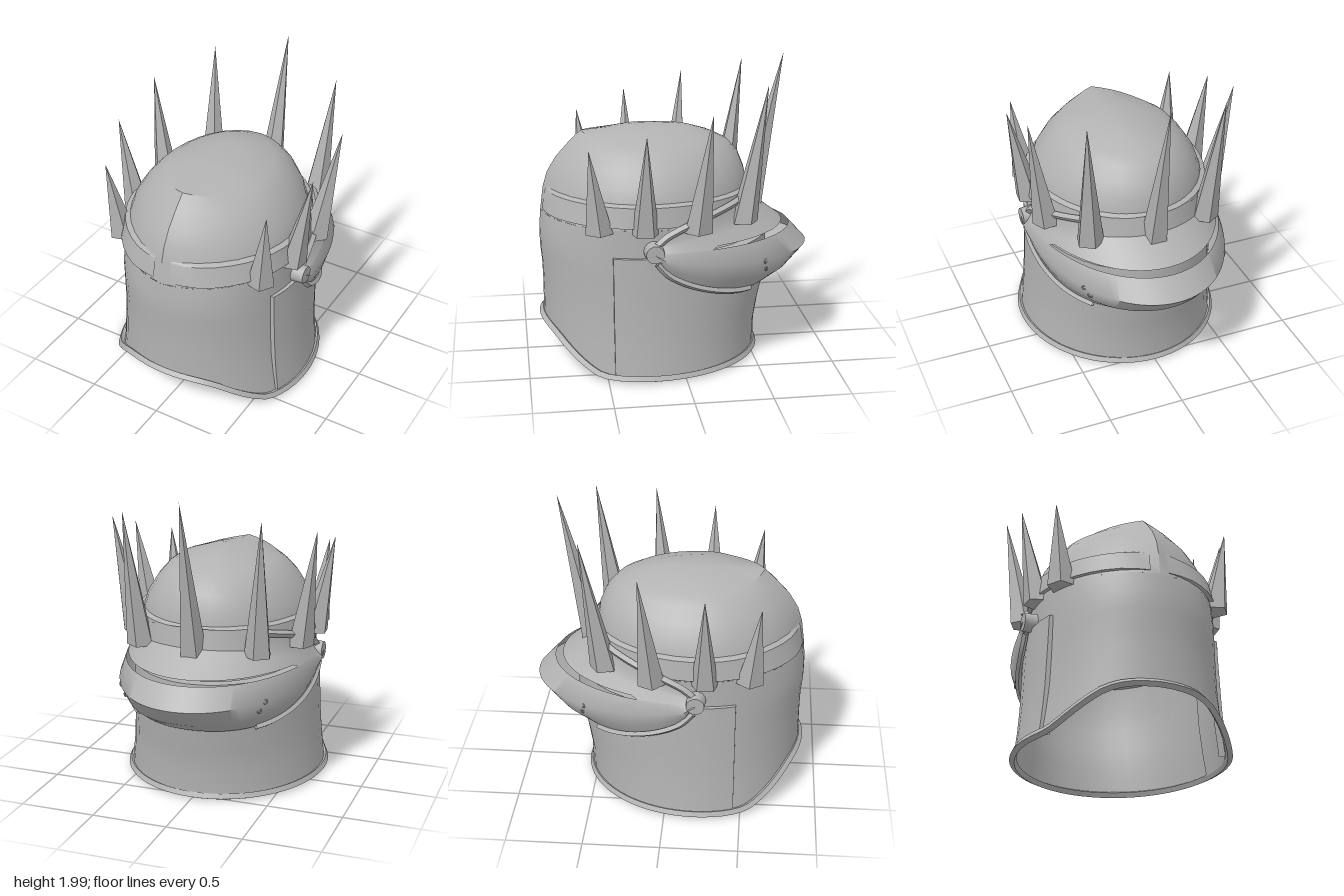
import * as THREE from 'three';
import { toCreasedNormals } from 'three/addons/utils/BufferGeometryUtils.js';

const steel = new THREE.MeshStandardMaterial({ color: 0xb2b2b2, side: THREE.DoubleSide });
steel.name = 'steel grey';

const RAD = Math.PI / 180;
const ZC = 0.2; // depth of the widest section

// Interpolates the columns of a small table by its first column
function sample(table, k) {
  if (k <= table[0][0]) return table[0].slice(1);
  for (let i = 1; i < table.length; i++) {
    const a = table[i - 1], b = table[i];
    if (k <= b[0]) {
      const f = (k - a[0]) / (b[0] - a[0]);
      return a.slice(1).map((v, n) => v + (b[n + 1] - v) * f);
    }
  }
  return table[table.length - 1].slice(1);
}

// Surface from a rule: point(column, row) gives [x, y, z]
function sheet(cols, rows, point, crease = 35) {
  const pos = [], idx = [];
  for (let j = 0; j <= rows; j++) for (let i = 0; i <= cols; i++) pos.push(...point(i, j));
  for (let j = 0; j < rows; j++) for (let i = 0; i < cols; i++) {
    const a = j * (cols + 1) + i, c = a + cols + 1;
    idx.push(a, a + 1, c, a + 1, c + 1, c);
  }
  const g = new THREE.BufferGeometry();
  g.setAttribute('position', new THREE.Float32BufferAttribute(pos, 3));
  g.setIndex(idx);
  return toCreasedNormals(g, crease * RAD);
}

// Skull by height: half width, front depth, back depth, lift of the ridge
const SKULL = [
  [0, 0.65, 0.89, -0.5, 0], [0.3, 0.605, 0.88, -0.5, 0], [0.6, 0.59, 0.88, -0.5, 0], [0.82, 0.585, 0.9, -0.5, 0],
  [1.0, 0.585, 0.885, -0.5, 0], [1.15, 0.565, 0.865, -0.49, 0], [1.25, 0.53, 0.835, -0.47, 0],
  [1.35, 0.465, 0.775, -0.43, 0], [1.43, 0.395, 0.68, -0.36, 0.025], [1.475, 0.33, 0.61, -0.27, 0.045],
  [1.525, 0.17, 0.42, -0.13, 0.01], [1.543, 0.07, 0.3, -0.02, 0], [1.548, 0, 0.22, 0.22, 0],
];
// Half width and back depth of the chin plate by height
const CHIN = [
  [0.03, 0.665, -0.545], [0.2, 0.645, -0.55], [0.35, 0.632, -0.575],
  [0.5, 0.625, -0.61], [0.65, 0.618, -0.63], [0.82, 0.612, -0.62],
];
// Bottom edge height by depth
const HEM = [[0.45, 0.03], [0.57, 0.045], [0.7, 0.14], [0.82, 0.25], [0.89, 0.275]];

function frontAngle(t) {
  return Math.abs(Math.atan2(Math.sin(t), Math.cos(t)));
}

function oval(t, xh, zf, zb, point = 0) {
  const c = Math.cos(t);
  const z = c > 0
    ? ZC + (zf - ZC) * (c * (1 - point) + (1 - frontAngle(t) / (Math.PI / 2)) * point)
    : ZC + (ZC - zb) * c;
  return [xh * Math.sin(t), z];
}

function skullPoint(t, y, out = 0) {
  const [xh, zf, zb, lift] = sample(SKULL, y);
  const ridge = 0.42 * Math.min(1, Math.max(0, (y - 0.9) / 0.3));
  const [x, z] = oval(t, xh + out, zf + out, zb - out, ridge);
  return [x, y + lift * Math.max(0, 1 - frontAngle(t) / 0.9), z];
}

// Visor surface: t runs around the face, frac from the slit level to the edge
function visorPoint(t, frac, xh, reach, lower) {
  const s = Math.max(0, -Math.cos(t));
  const y = lower
    ? 0.865 - (0.41 * Math.pow(s, 0.45) - 0.06 * Math.pow(s, 4)) * frac
    : 0.868 + 0.29 * Math.pow(s, 0.5) * frac;
  return [xh * Math.sin(t), y, ZC - reach * s];
}

// Rim bar with a square section
function rim(points, radius, closed = false) {
  const curve = new THREE.CatmullRomCurve3(points.map(p => new THREE.Vector3(...p)), closed);
  return toCreasedNormals(new THREE.TubeGeometry(curve, points.length * 2, radius, 4, closed), 35 * RAD);
}

export function createModel() {
  const model = new THREE.Group();
  model.name = 'spikedHelmet';
  const add = (name, geometry) => {
    const mesh = new THREE.Mesh(geometry, steel);
    mesh.name = name;
    model.add(mesh);
    return mesh;
  };

  // Domed top with a ridge towards +z
  add('skullDome', sheet(32, SKULL.length - 5, (i, j) => skullPoint(i / 32 * 2 * Math.PI, SKULL[j + 4][0]), 30));

  // Tall plate with an arched hem
  add('neckPlate', sheet(28, 6, (i, j) => {
    const t = (i / 28 * 2 - 1) * 100 * RAD;
    const hem = sample(HEM, oval(t, 0.65, 0.89, -0.5)[1])[0];
    return skullPoint(t, hem + (1 - hem) * j / 6);
  }));

  // Chin plate: outer columns and last row fold inward to show its thickness
  add('chinPlate', sheet(26, CHIN.length, (i, j) => {
    const u = Math.min(24, Math.max(0, i - 1)) / 24;
    const t = (68 + 224 * u) * RAD;
    const [y, xh, zb] = CHIN[Math.min(j, CHIN.length - 1)];
    const fold = i === 0 || i === 26 || j === CHIN.length ? 0.07 : 0;
    const [x, z] = oval(t, xh - fold, 0.88, zb + fold);
    return [x, y, z];
  }));

  // Rim along the bottom edge
  const hemPath = [];
  for (let i = 0; i < 36; i++) {
    const [x, z] = oval(i * 10 * RAD, 0.668, 0.885, -0.545);
    hemPath.push([x, Math.max(0.026, sample(HEM, z)[0]), z]);
  }
  add('bottomRim', rim(hemPath, 0.025, true));

  // Raised brow band, open and fading out at the ridge
  const bandRows = [[1.02, 0], [1.02, 0.028], [1.15, 0.028], [1.165, 0]];
  add('browBand', sheet(40, 3, (i, j) => {
    const t = 0.1 + i / 40 * (2 * Math.PI - 0.2);
    const fade = Math.min(1, 0.15 + (frontAngle(t) - 0.1) / 0.4);
    return skullPoint(t, bandRows[j][0], bandRows[j][1] * fade);
  }));

  // Visor: [fraction, half width, reach] rows below and above the eye slit
  const LOWER = [[1, 0.625, 0.83], [0.75, 0.65, 0.98], [0.38, 0.67, 1.1], [0.01, 0.645, 0.98]];
  const UPPER = [[0.06, 0.64, 0.93], [0.36, 0.62, 0.81], [0.55, 0.61, 0.74], [1, 0.605, 0.72]];
  const visorAngle = i => (90 + 180 * i / 48) * RAD;
  add('visorLower', sheet(48, 3, (i, j) => visorPoint(visorAngle(i), ...LOWER[j], true), 65));
  add('visorUpper', sheet(48, 3, (i, j) => {
    const t = visorAngle(i);
    // The slit closes towards the hinges
    if (j === 0 && -Math.cos(t) < 0.44) return visorPoint(t, ...LOWER[3], true);
    return visorPoint(t, ...UPPER[j], false);
  }));

  for (const side of [1, -1]) {
    const label = side > 0 ? 'Left' : 'Right';
    const mirror = p => [p[0] * side, p[1], p[2]];

    // Rims on the visor edges
    const low = [], high = [];
    for (let k = 0; k <= 10; k++) {
      low.push(mirror(visorPoint((91 + 5 * k) * RAD, 1, 0.64, 0.84, true)));
      high.push(mirror(visorPoint((91 + 5 * k) * RAD, 1, 0.62, 0.74, false)));
    }
    add('visorLowerRim' + label, rim(low, 0.02));
    add('visorUpperRim' + label, rim(high, 0.024));

    // Hinge disc
    const hinge = add('hinge' + label, toCreasedNormals(new THREE.CylinderGeometry(0.058, 0.066, 0.085, 14), 35 * RAD));
    hinge.rotation.z = -side * Math.PI / 2;
    hinge.position.set(0.622 * side, 0.867, 0.2);

    // Breath hole rings
    for (const [s, frac, xh, reach] of [[0.675, 0.4, 0.668, 1.09], [0.72, 0.58, 0.66, 1.04]]) {
      const ring = add('breathHole' + label, new THREE.TorusGeometry(0.013, 0.005, 6, 12));
      ring.position.set(...mirror(visorPoint(Math.PI - Math.acos(s), frac, xh, reach, true)));
      ring.rotation.y = side * 140 * RAD;
    }
  }

  // Crown spikes: five-sided, flat outside and ridged inside; base x, z and tip x, y, z
  function spike(bx, bz, tx, ty, tz) {
    const g = new THREE.CylinderGeometry(0, 0.092, 1, 5, 1).toNonIndexed();
    g.rotateY(Math.atan2(bx, bz - ZC) + Math.PI);
    const p = g.attributes.position;
    for (let i = 0; i < p.count; i++) {
      const v = p.getY(i) + 0.5;
      p.setXYZ(i, p.getX(i) + bx + (tx - bx) * v, 0.98 + (ty - 0.98) * v, p.getZ(i) + bz + (tz - bz) * v);
    }
    g.computeVertexNormals();
    add('crownSpike', g);
  }
  spike(0, -0.515, 0, 2, -0.73);
  for (const s of [1, -1]) {
    spike(0.4 * s, -0.405, 0.456 * s, 1.88, -0.54);
    spike(0.58 * s, -0.085, 0.7 * s, 1.76, -0.153);
    spike(0.588 * s, 0.255, 0.712 * s, 1.64, 0.255);
    spike(0.52 * s, 0.54, 0.583 * s, 1.53, 0.6);
  }
  return model;
}
